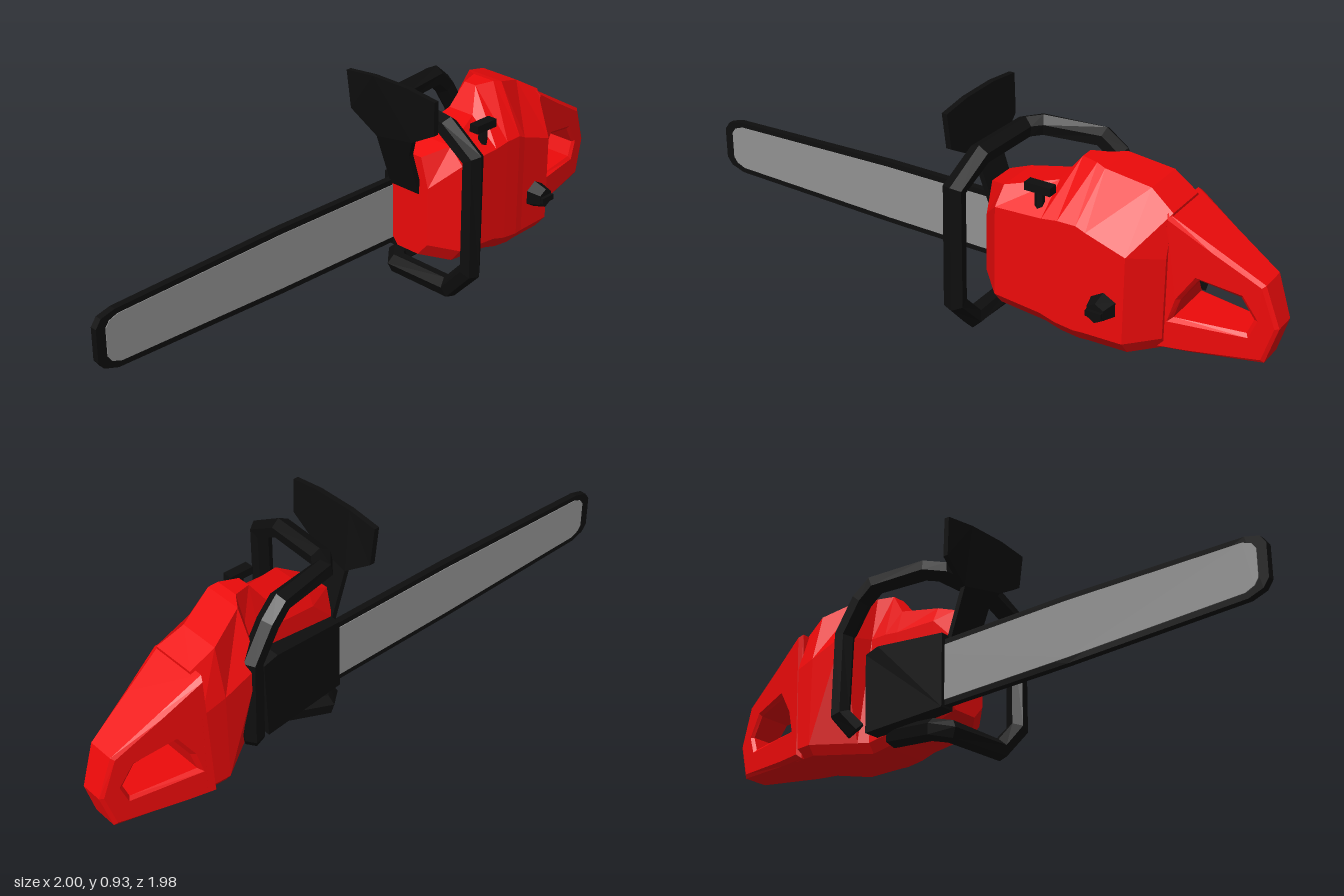
import * as THREE from 'three';

const mat = (color) => new THREE.MeshStandardMaterial({ color, flatShading: true, side: THREE.DoubleSide });
const RED = mat(0xee0a0a), BLACK = mat(0x0e0e0e), STEEL = mat(0x929292);

// Saw frame: x runs from the bar tip to the rear grip, z points to the starter side.

// Skin joining equal-length rings of points, with fan caps
function loft(rings) {
  const n = rings[0].length, pos = rings.flat(2), idx = [];
  for (let k = 0; k < rings.length - 1; k++) {
    for (let i = 0; i < n; i++) {
      const a = k * n + i, b = k * n + (i + 1) % n;
      idx.push(a, b, a + n, b, b + n, a + n);
    }
  }
  const end = (rings.length - 1) * n;
  for (let i = 1; i < n - 1; i++) idx.push(0, i + 1, i, end, end + i, end + i + 1);
  const g = new THREE.BufferGeometry();
  g.setAttribute('position', new THREE.Float32BufferAttribute(pos, 3));
  g.setIndex(idx);
  const flat = g.toNonIndexed();
  flat.computeVertexNormals();
  return flat;
}

// Faceted bar of constant radius along a polyline
function sweep(points, radius, sides) {
  const pts = points.map((p) => new THREE.Vector3(...p));
  let normal = new THREE.Vector3(0.1, 0.2, 1);
  return loft(pts.map((p, i) => {
    const t = new THREE.Vector3();
    if (i > 0) t.add(p.clone().sub(pts[i - 1]).normalize());
    if (i < pts.length - 1) t.add(pts[i + 1].clone().sub(p).normalize());
    t.normalize();
    normal = normal.clone().addScaledVector(t, -normal.dot(t)).normalize();
    const side = new THREE.Vector3().crossVectors(t, normal);
    return Array.from({ length: sides }, (_, k) => {
      const a = ((k + 0.5) / sides) * Math.PI * 2;
      return p.clone().addScaledVector(normal, radius * Math.cos(a))
        .addScaledVector(side, radius * Math.sin(a)).toArray();
    });
  }));
}

const outline = (pts) => new THREE.Shape(pts.map((p) => new THREE.Vector2(...p)));

// Plate from an x-y outline, between two z values
function plate(pts, z0, z1) {
  return new THREE.ExtrudeGeometry(outline(pts), { depth: z1 - z0, bevelEnabled: false }).translate(0, 0, z0);
}

// Moves every vertex by a rule
function warp(g, rule) {
  const p = g.attributes.position, v = new THREE.Vector3();
  for (let i = 0; i < p.count; i++) {
    v.fromBufferAttribute(p, i);
    rule(v);
    p.setXYZ(i, v.x, v.y, v.z);
  }
  g.computeVertexNormals();
  return g;
}

export function createModel() {
  const model = new THREE.Group();
  model.name = 'chainsaw';
  const saw = new THREE.Group();
  saw.name = 'saw';
  saw.rotation.y = Math.PI / 4;
  model.add(saw);
  const add = (name, geometry, material) => {
    const m = new THREE.Mesh(geometry, material);
    m.name = name;
    saw.add(m);
    return m;
  };

  // Guide bar with the chain as a dark rim
  add('chain', plate([
    [0.3, 0.14], [-0.48, 0.145], [-1.3, 0.163], [-1.365, 0.185], [-1.39, 0.22],
    [-1.39, 0.36], [-1.365, 0.395], [-1.3, 0.412], [-0.48, 0.437], [0.3, 0.437],
  ], -0.03, 0), BLACK);
  add('guideBar', plate([
    [0.3, 0.165], [-0.48, 0.17], [-1.29, 0.188], [-1.33, 0.205], [-1.348, 0.23],
    [-1.348, 0.35], [-1.33, 0.375], [-1.29, 0.39], [-0.48, 0.412], [0.3, 0.412],
  ], -0.033, 0.003), STEEL);

  // Engine housing: x, left, bottom left, right, bottom, shoulder, top, top left, top right
  const sections = [
    [0.15, 0.0, 0.0, 0.2, 0.14, 0.46, 0.59, 0.03, 0.16],
    [0.25, 0.0, 0.0, 0.297, 0.11, 0.56, 0.63, 0.03, 0.23],
    [0.46, 0.0, 0.0, 0.297, 0.09, 0.57, 0.68, 0.03, 0.16],
    [0.53, 0.0, 0.0, 0.297, 0.07, 0.58, 0.78, 0.05, 0.11],
    [0.61, 0.0, 0.0, 0.295, 0.06, 0.58, 0.785, 0.03, 0.14],
    [0.65, -0.145, -0.03, 0.29, 0.06, 0.56, 0.775, -0.03, 0.15],
    [0.82, -0.15, -0.15, 0.283, 0.06, 0.5, 0.715, -0.1, 0.09],
    [0.93, -0.145, -0.145, 0.16, 0.06, 0.47, 0.65, -0.085, 0.12],
  ];
  add('engineHousing', loft(sections.map(([x, l, bl, r, b, s, t, tl, tr]) => [
    [x, t, tl], [x, t, tr], [x, s, r], [x, b + 0.06, r],
    [x, b, r - 0.05], [x, b, bl + 0.03], [x, b + 0.04, bl], [x, s, l],
  ])), RED);

  // Rear grip: ring outline that tapers toward the back
  const grip = outline([
    [0.88, 0.06], [1.02, 0.065], [1.315, 0.09], [1.362, 0.25], [1.3, 0.425], [1.1, 0.54], [0.91, 0.65],
  ]);
  grip.holes.push(outline([
    [0.955, 0.205], [0.98, 0.29], [1.045, 0.39], [1.21, 0.355], [1.265, 0.27], [1.24, 0.205],
  ]));
  const gripGeo = new THREE.ExtrudeGeometry(grip, {
    depth: 1.7, bevelThickness: 0.15, bevelSize: 0.015, bevelOffset: -0.015, bevelSegments: 1,
  }).translate(0, 0, -0.85);
  add('rearGrip', warp(gripGeo, (v) => {
    v.z *= THREE.MathUtils.mapLinear(v.x, 0.92, 1.35, 0.147, 0.06);
  }), RED);

  // Throttle trigger inside the grip
  const trigger = add('trigger', new THREE.CylinderGeometry(0.05, 0.01, 0.14, 5), BLACK);
  trigger.position.set(1.02, 0.36, 0);
  trigger.scale.z = 0.6;

  // Drive cover on the bar side
  add('driveCover', warp(plate([
    [0.155, 0.13], [0.56, 0.11], [0.57, 0.47], [0.5, 0.49], [0.155, 0.46],
  ], -0.075, 0.02), (v) => { if (v.z < 0 && v.x < 0.2) v.z = -0.05; }), BLACK);

  // Wrap-around front handle
  add('frontHandle', sweep([
    [0.5, 0.11, 0.04], [0.22, 0.052, -0.03], [0.165, 0.045, 0.02], [0.16, 0.048, 0.32],
    [0.155, 0.17, 0.435], [0.155, 0.67, 0.435], [0.17, 0.76, 0.28], [0.2, 0.775, 0.0],
    [0.25, 0.775, -0.06], [0.5, 0.77, -0.1], [0.57, 0.71, -0.11], [0.66, 0.57, -0.115],
    [0.67, 0.21, -0.115], [0.63, 0.14, -0.06],
  ], 0.047, 6), BLACK);

  // Hand guard: near-upright plate on a stem that slopes back to the housing
  const guard = plate([
    [-0.01, 0.42], [0.15, 0.42], [0.16, 0.62], [0.2, 0.7], [0.325, 0.77], [0.335, 0.92],
    [0.19, 0.937], [0.0, 0.937], [-0.15, 0.92], [-0.14, 0.75], [-0.01, 0.66],
  ], -0.012, 0.012).rotateY(-Math.PI / 2);
  add('handGuard', warp(guard, (v) => {
    v.x += v.y > 0.7 ? THREE.MathUtils.mapLinear(v.y, 0.7, 0.94, 0.062, 0.042)
      : THREE.MathUtils.mapLinear(v.y, 0.42, 0.7, 0.16, 0.062);
  }), BLACK);

  // Starter-side knob
  const knob = add('fuelCap', new THREE.CylinderGeometry(0.042, 0.062, 0.07, 6).rotateX(Math.PI / 2), BLACK);
  knob.position.set(0.735, 0.265, 0.315);
  const knobRib = add('fuelCapRib', new THREE.BoxGeometry(0.07, 0.025, 0.03), BLACK);
  knobRib.position.set(0.735, 0.265, 0.35);

  // T-shaped control on the upper side
  const stem = add('controlStem', new THREE.CylinderGeometry(0.02, 0.02, 0.12, 6), BLACK);
  stem.position.set(0.425, 0.625, 0.25);
  const bar = add('controlBar', new THREE.BoxGeometry(0.115, 0.035, 0.045), BLACK);
  bar.position.set(0.425, 0.675, 0.25);

  return model;
}
